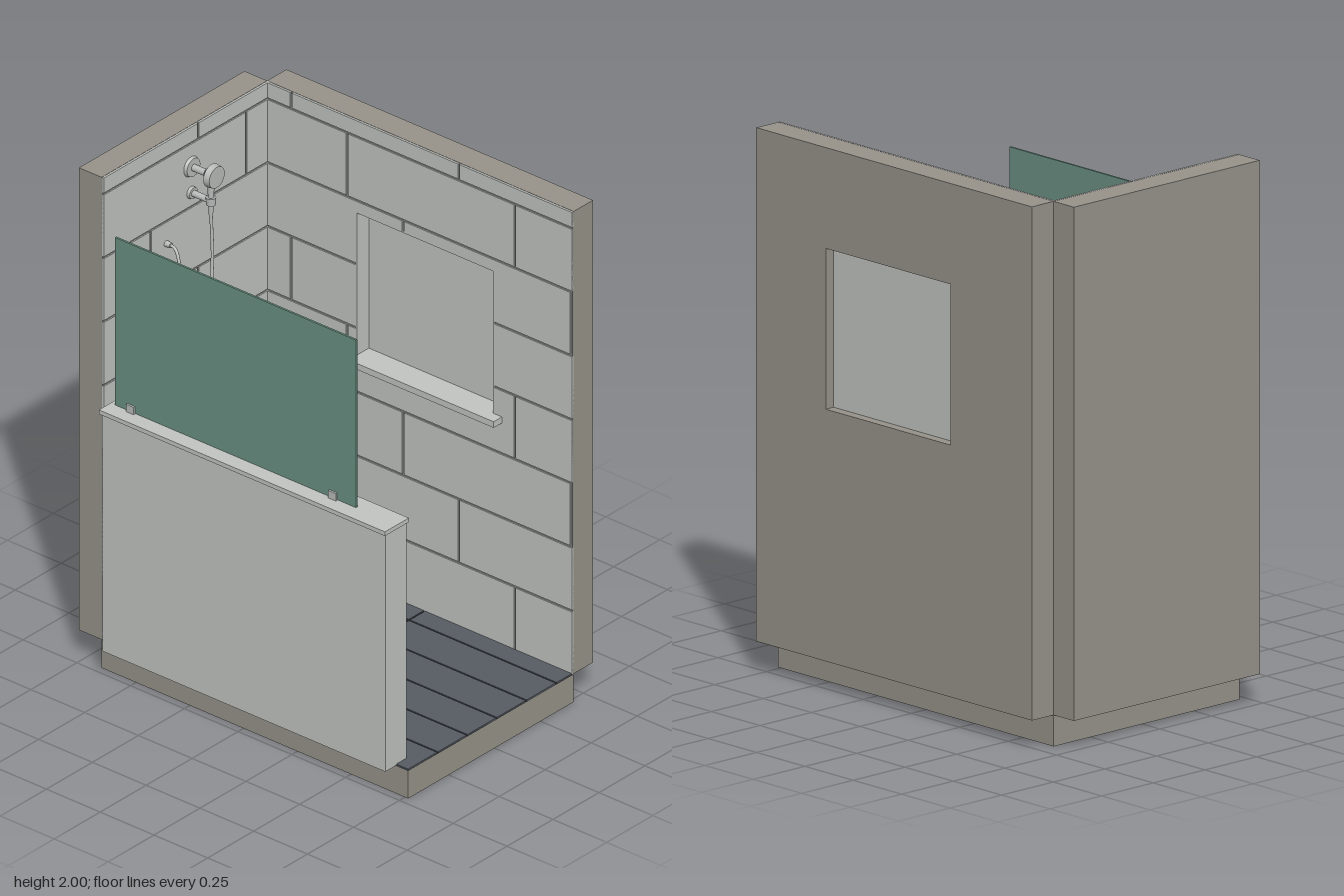
import * as THREE from 'three';

const mat = (name, color) => Object.assign(new THREE.MeshStandardMaterial({ color }), { name });

export function createModel() {
  const model = new THREE.Group();
  model.name = 'showerEnclosure';
  const M = {
    wall: mat('warm grey wall', 0x98948b),
    tile: mat('pale wall tile', 0xc2c5c1),
    grout: mat('wall grout', 0x8b8d8a),
    floor: mat('slate floor tile', 0x575c63),
    dark: mat('dark grout', 0x2c2f32),
    glass: mat('green glass', 0x6a9184),
    metal: mat('brushed metal', 0xbabdbb),
  };

  function add(parent, name, geometry, material) {
    const mesh = new THREE.Mesh(geometry, material);
    mesh.name = name;
    parent.add(mesh);
    return mesh;
  }
  // Box given by its minimum and maximum on each axis
  function box(parent, name, material, x0, x1, y0, y1, z0, z1) {
    const m = add(parent, name, new THREE.BoxGeometry(x1 - x0, y1 - y0, z1 - z0), material);
    m.position.set((x0 + x1) / 2, (y0 + y1) / 2, (z0 + z1) / 2);
    return m;
  }
  function group(name) {
    const g = new THREE.Group();
    g.name = name;
    model.add(g);
    return g;
  }
  // Rectangle [u0, u1, v0, v1] with a rectangular hole removed
  function cut(r, h) {
    const [a, b, c, d] = r;
    if (!h || h[0] >= b || h[1] <= a || h[2] >= d || h[3] <= c) return [r];
    const lo = Math.max(c, h[2]), hi = Math.min(d, h[3]);
    return [[a, b, c, lo], [a, b, hi, d], [a, h[0], lo, hi], [h[1], b, lo, hi]]
      .filter(([p, q, s, t]) => q - p > 0.002 && t - s > 0.002);
  }
  // Running-bond tile rectangles, each row shifted by a third of a tile
  function bond(u0, u1, firstJoint, hole) {
    const out = [], W = 0.78, H = 0.26, gap = 0.004;
    for (let row = 0; row < 8; row++) {
      const v0 = 0.115 + row * H + (row ? gap : 0);
      const v1 = Math.min(2, 0.115 + (row + 1) * H - gap);
      const joint = firstJoint - (row % 3) * (W / 3);
      for (let k = -3; k <= 3; k++) {
        const a = Math.max(u0, joint + k * W + gap), b = Math.min(u1, joint + (k + 1) * W - gap);
        if (b - a > 0.006) out.push(...cut([a, b, v0, v1], hole));
      }
    }
    return out;
  }

  // Base and plank floor
  const base = group('base');
  box(base, 'basePlinth', M.wall, -0.47, 0.43, 0, 0.112, -0.66, 0.765);
  box(base, 'floorGrout', M.dark, -0.47, 0.42, 0.112, 0.116, -0.65, 0.765);
  const xs = [-0.47, -0.31, -0.15, 0.01, 0.172, 0.335, 0.42], zs = [-0.65, 0.08, 0.765];
  for (let i = 0; i < 6; i++) for (let j = 0; j < 2; j++) {
    box(base, 'floorTile', M.floor, xs[i] + (i ? 0.003 : 0), xs[i + 1] - (i < 5 ? 0.003 : 0),
      0.114, 0.12, zs[j] + (j ? 0.003 : 0), zs[j + 1] - (j ? 0 : 0.003));
  }

  // Back wall
  const back = group('backWall');
  box(back, 'backWallCore', M.wall, -0.47, 0.43, 0.115, 2, -0.765, -0.66);
  box(back, 'backGrout', M.grout, -0.47, 0.43, 0.115, 1.999, -0.66, -0.655);
  for (const [a, b, c, d] of bond(-0.47, 0.43, 0.305)) box(back, 'backTile', M.tile, a, b, c, d, -0.658, -0.65);

  // Side wall with window opening
  const side = group('sideWall');
  const hole = [-0.24, 0.405, 1.04, 1.63];
  for (const [a, b, c, d] of cut([-0.66, 0.765, 0.115, 2], hole)) {
    box(side, 'sideWallCore', M.wall, 0.43, 0.535, c, d, a, b);
  }
  for (const [a, b, c, d] of cut([-0.65, 0.765, 0.115, 1.999], hole)) {
    box(side, 'sideGrout', M.grout, 0.425, 0.43, c, d, a, b);
  }
  for (const [a, b, c, d] of bond(-0.65, 0.765, 0.5, hole)) box(side, 'sideTile', M.tile, 0.42, 0.428, c, d, a, b);

  // Frosted window pane, reveals and inner sill
  const win = group('window');
  box(win, 'windowPane', M.tile, 0.485, 0.497, 1.04, 1.63, -0.24, 0.405);
  box(win, 'windowSill', M.tile, 0.375, 0.485, 1.02, 1.045, -0.24, 0.405);
  box(win, 'sillFront', M.tile, 0.375, 0.42, 1.02, 1.045, -0.29, 0.44);
  box(win, 'revealTop', M.tile, 0.42, 0.485, 1.624, 1.63, -0.24, 0.405);
  box(win, 'revealBack', M.tile, 0.42, 0.485, 1.04, 1.63, -0.24, -0.234);
  box(win, 'revealFront', M.tile, 0.42, 0.485, 1.04, 1.63, 0.399, 0.405);

  // Half wall with long recessed niche and cap
  const half = group('halfWall');
  box(half, 'halfWallLower', M.tile, -0.53, -0.415, 0.115, 0.635, -0.605, 0.71);
  box(half, 'halfWallUpper', M.tile, -0.53, -0.415, 0.94, 1.085, -0.605, 0.71);
  box(half, 'halfWallBackPier', M.tile, -0.53, -0.415, 0.635, 0.94, -0.605, -0.46);
  box(half, 'halfWallFrontPier', M.tile, -0.53, -0.415, 0.635, 0.94, 0.48, 0.71);
  box(half, 'nicheBack', M.tile, -0.53, -0.5, 0.635, 0.94, -0.46, 0.48);
  box(half, 'halfWallCap', M.tile, -0.54, -0.41, 1.083, 1.1, -0.613, 0.717);

  // Glass screen held by two clips
  const screen = group('glassScreen');
  box(screen, 'glassPanel', M.glass, -0.479, -0.471, 1.102, 1.785, -0.59, 0.53);
  for (const z of [-0.515, 0.425]) {
    for (const s of [-1, 1]) {
      const x = -0.475 + s * 0.008;
      box(screen, 'glassClip', M.metal, x - 0.004, x + 0.004, 1.1, 1.13, z - 0.018, z + 0.018);
    }
  }

  // Floor drain grate
  const drain = group('drain');
  box(drain, 'drainWell', M.dark, -0.03, 0.044, 0.12, 0.126, 0.21, 0.284);
  for (let i = 0; i < 5; i++) {
    const t = i * 0.0168, w = 0.0075;
    box(drain, 'grateBar', M.metal, -0.032 + t, -0.032 + t + w, 0.12, 0.135, 0.208, 0.283);
    box(drain, 'grateCrossBar', M.metal, -0.032, 0.0427, 0.121, 0.1345, 0.208 + t, 0.208 + t + w);
  }

  // Shower fittings
  const shower = group('showerFittings');
  const disc = (name, r0, r1, x, y, z0, z1) => {
    const g = new THREE.CylinderGeometry(r1, r0, z1 - z0, 32).rotateX(Math.PI / 2);
    add(shower, name, g, M.metal).position.set(x, y, (z0 + z1) / 2);
  };
  const pipe = (name, r, pts, n) => {
    const curve = new THREE.CatmullRomCurve3(pts.map((p) => new THREE.Vector3(...p)));
    add(shower, name, new THREE.TubeGeometry(curve, n, r, 10), M.metal);
  };
  disc('armFlange', 0.04, 0.036, 0.005, 1.84, -0.65, -0.638);
  disc('showerArm', 0.013, 0.013, 0.005, 1.84, -0.64, -0.565);
  disc('showerHeadBack', 0.025, 0.045, 0.005, 1.84, -0.572, -0.555);
  disc('showerHead', 0.045, 0.042, 0.005, 1.84, -0.555, -0.53);
  const handle = add(shower, 'showerHandle', new THREE.CylinderGeometry(0.014, 0.008, 0.15, 20), M.metal);
  handle.position.set(0.005, 1.755, -0.558);
  disc('holderFlange', 0.024, 0.022, 0.005, 1.735, -0.65, -0.638);
  disc('holderArm', 0.012, 0.012, 0.005, 1.735, -0.64, -0.57);
  const ring = add(shower, 'holderRing', new THREE.CylinderGeometry(0.019, 0.017, 0.03, 20), M.metal);
  ring.position.set(0.005, 1.735, -0.558);
  pipe('hose', 0.006, [[0.005, 1.69, -0.558], [0.006, 1.5, -0.552], [-0.015, 1.37, -0.545], [-0.05, 1.305, -0.538],
    [-0.095, 1.29, -0.535], [-0.135, 1.32, -0.54], [-0.145, 1.41, -0.555], [-0.138, 1.52, -0.58],
    [-0.13, 1.58, -0.61], [-0.13, 1.585, -0.65]], 72);
  disc('hoseOutlet', 0.012, 0.01, -0.13, 1.585, -0.65, -0.628);

  // Mixer valve with lever
  disc('valvePlate', 0.066, 0.064, 0.005, 1.005, -0.65, -0.64);
  disc('valveHub', 0.024, 0.021, 0.005, 1.005, -0.64, -0.595);
  pipe('valveLever', 0.007, [[0.005, 1.003, -0.602], [-0.025, 0.987, -0.602], [-0.052, 0.971, -0.602]], 8);

  return model;
}
